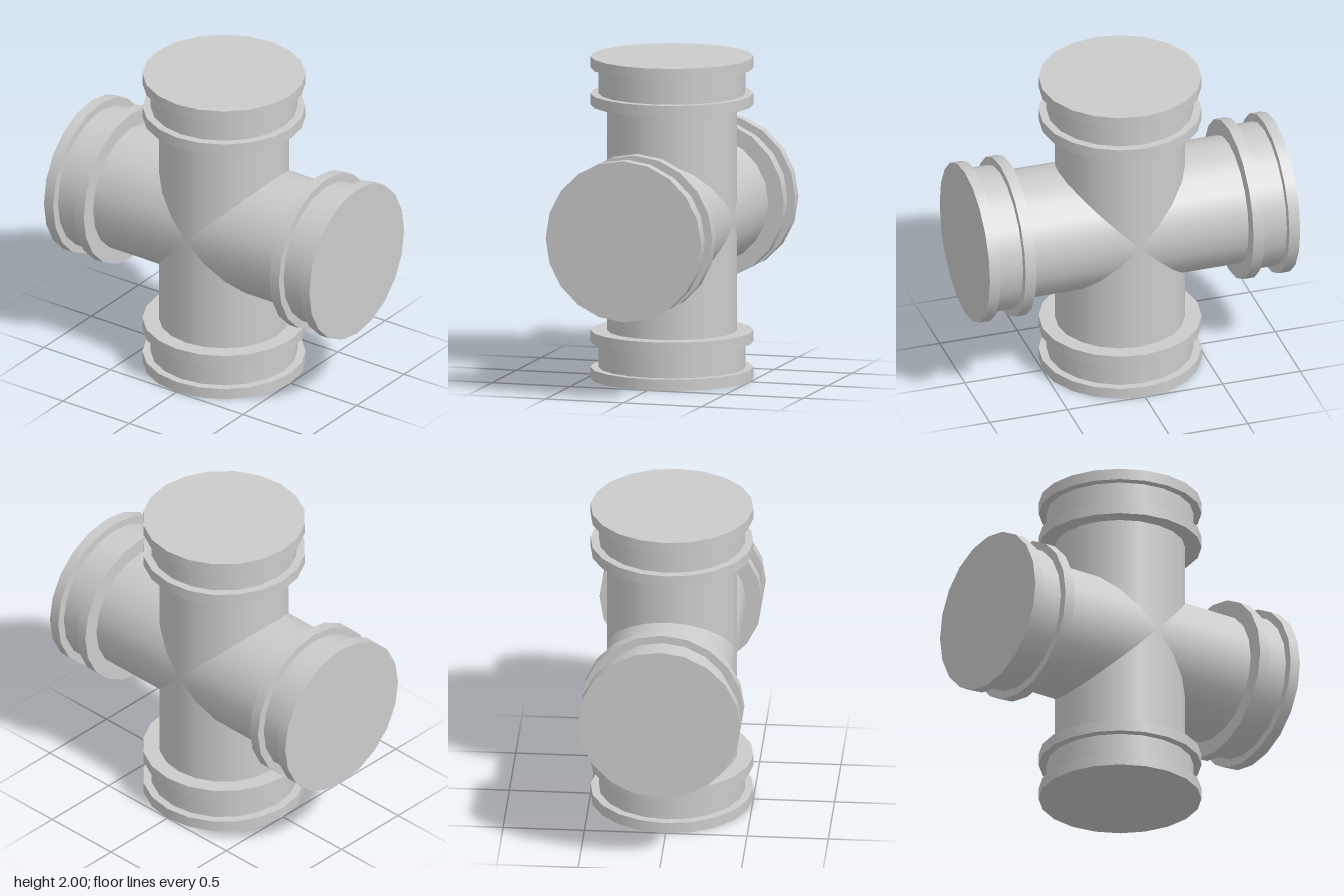
import * as THREE from 'three';

const SIDES = 20;
const material = new THREE.MeshStandardMaterial({ color: 0xcccccc });

// Solid disc along y between two distances from the centre
function disc(name, radius, from, to) {
  const geometry = new THREE.CylinderGeometry(radius, radius, to - from, SIDES);
  geometry.translate(0, (from + to) / 2, 0);
  const mesh = new THREE.Mesh(geometry, material);
  mesh.name = name;
  return mesh;
}

// Pipe wall whose inner end is mitred along y = |x| to meet its neighbours
function mitredPipe(radius, end) {
  const geometry = new THREE.CylinderGeometry(radius, radius, end, SIDES, 1, true);
  geometry.translate(0, end / 2, 0);
  const pos = geometry.attributes.position;
  for (let i = 0; i < pos.count; i++) {
    if (pos.getY(i) < end / 2) pos.setY(i, Math.abs(pos.getX(i)));
  }
  const mesh = new THREE.Mesh(geometry, material);
  mesh.name = 'pipe';
  return mesh;
}

// One arm of the cross: pipe, inner flange, neck and closed end flange
function createArm(name) {
  const arm = new THREE.Group();
  arm.name = name;
  arm.add(
    mitredPipe(0.4, 0.7),
    disc('innerFlange', 0.5, 0.7, 0.77),
    disc('neck', 0.45, 0.77, 0.93),
    disc('endFlange', 0.5, 0.93, 1)
  );
  return arm;
}

export function createModel() {
  const model = new THREE.Group();
  model.name = 'pipeCross';
  ['topArm', 'rightArm', 'bottomArm', 'leftArm'].forEach((name, i) => {
    const arm = createArm(name);
    arm.position.y = 1;
    arm.rotation.z = (i * Math.PI) / 2;
    model.add(arm);
  });
  return model;
}
